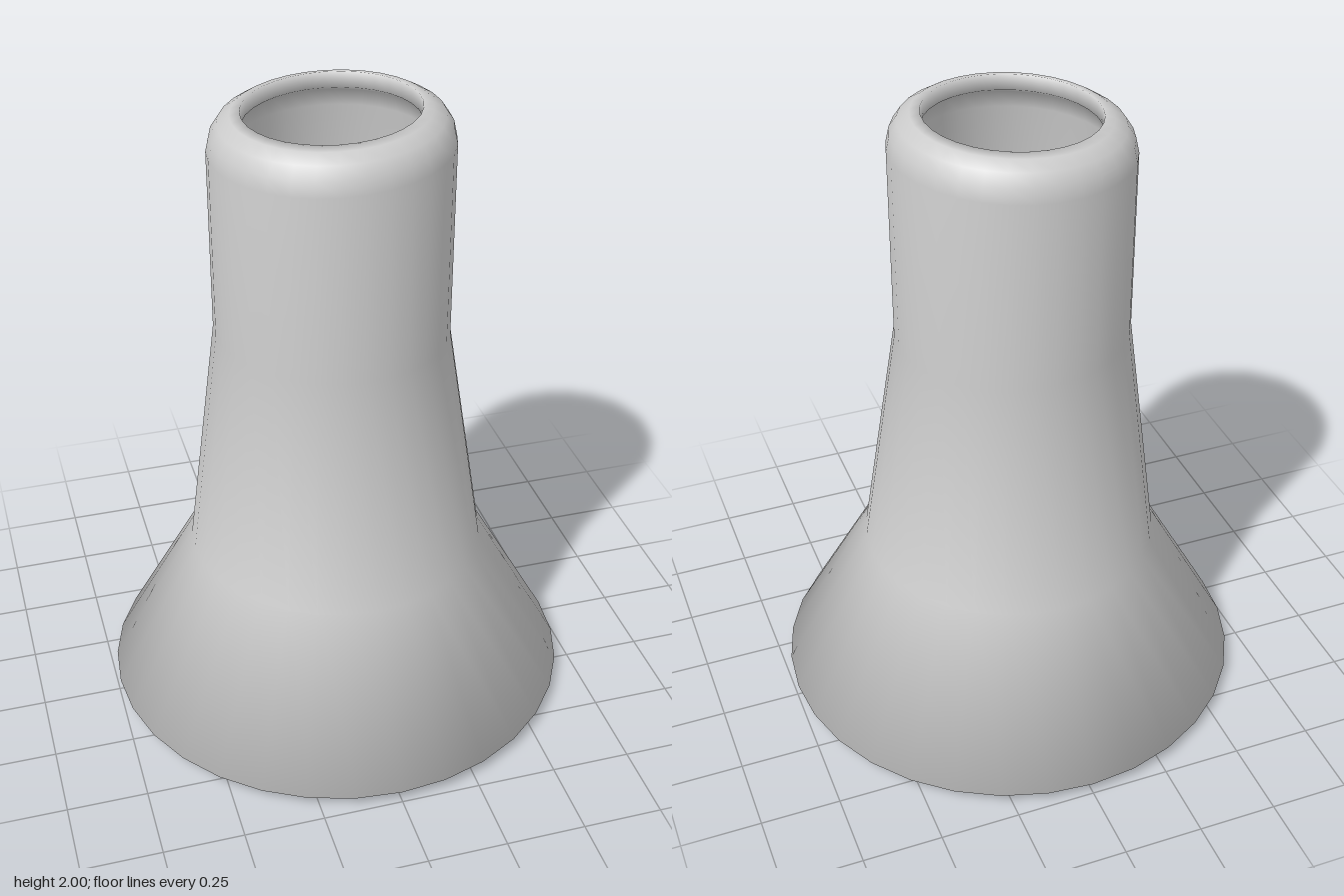
import * as THREE from 'three';

// Closed wall profile [radius, height]: outside going up, then inside going down
const PROFILE = [
  [0.69, 0], [0.745, 0.035], [0.468, 0.53], [0.36, 1.29], [0.36, 1.88],
  [0.35, 1.925], [0.327, 1.96], [0.29, 1.983], [0.26, 1.99],
  [0.26, 1.94], [0.283, 1.925], [0.3, 1.87], [0.303, 1.285], [0.412, 0.505], [0.69, 0],
].map(([r, y]) => new THREE.Vector2(r, y));

// Evenly weighted smooth normals along the closed profile
function profileNormals(points) {
  const n = points.length - 1;
  const edge = (i) => {
    const a = points[(i + n) % n], b = points[((i + n) % n) + 1];
    return new THREE.Vector2(b.y - a.y, a.x - b.x).normalize();
  };
  return points.map((_, i) => edge(i).add(edge(i - 1)).normalize());
}

// Slight lean of the neck: slope of each ring across x
function ringSlope(y) {
  if (y < 0.54) return 0;
  if (y < 1.3) return -0.028 * (y - 0.54) / 0.76;
  return -0.028 + 0.068 * Math.min(1, (y - 1.3) / 0.58);
}

export function createModel() {
  const group = new THREE.Group();
  group.name = 'flaredNozzle';

  const geometry = new THREE.LatheGeometry(PROFILE, 32);
  const pos = geometry.attributes.position;
  const normal = geometry.attributes.normal;
  const normals = profileNormals(PROFILE);

  for (let i = 0; i < pos.count; i++) {
    const j = i % PROFILE.length;
    const angle = Math.floor(i / PROFILE.length) / 32 * Math.PI * 2;
    normal.setXYZ(i, normals[j].x * Math.sin(angle), normals[j].y, normals[j].x * Math.cos(angle));

    // tilt the rings and shift the neck a little sideways
    const x = pos.getX(i), y = pos.getY(i);
    const shift = -0.013 * THREE.MathUtils.clamp((y - 0.4) / 0.88, 0, 1);
    pos.setXY(i, x + shift, y + ringSlope(y) * x);
  }

  const body = new THREE.Mesh(geometry, new THREE.MeshStandardMaterial({ color: 0xcccccc }));
  body.name = 'hollowFlaredBody';
  group.add(body);
  return group;
}
